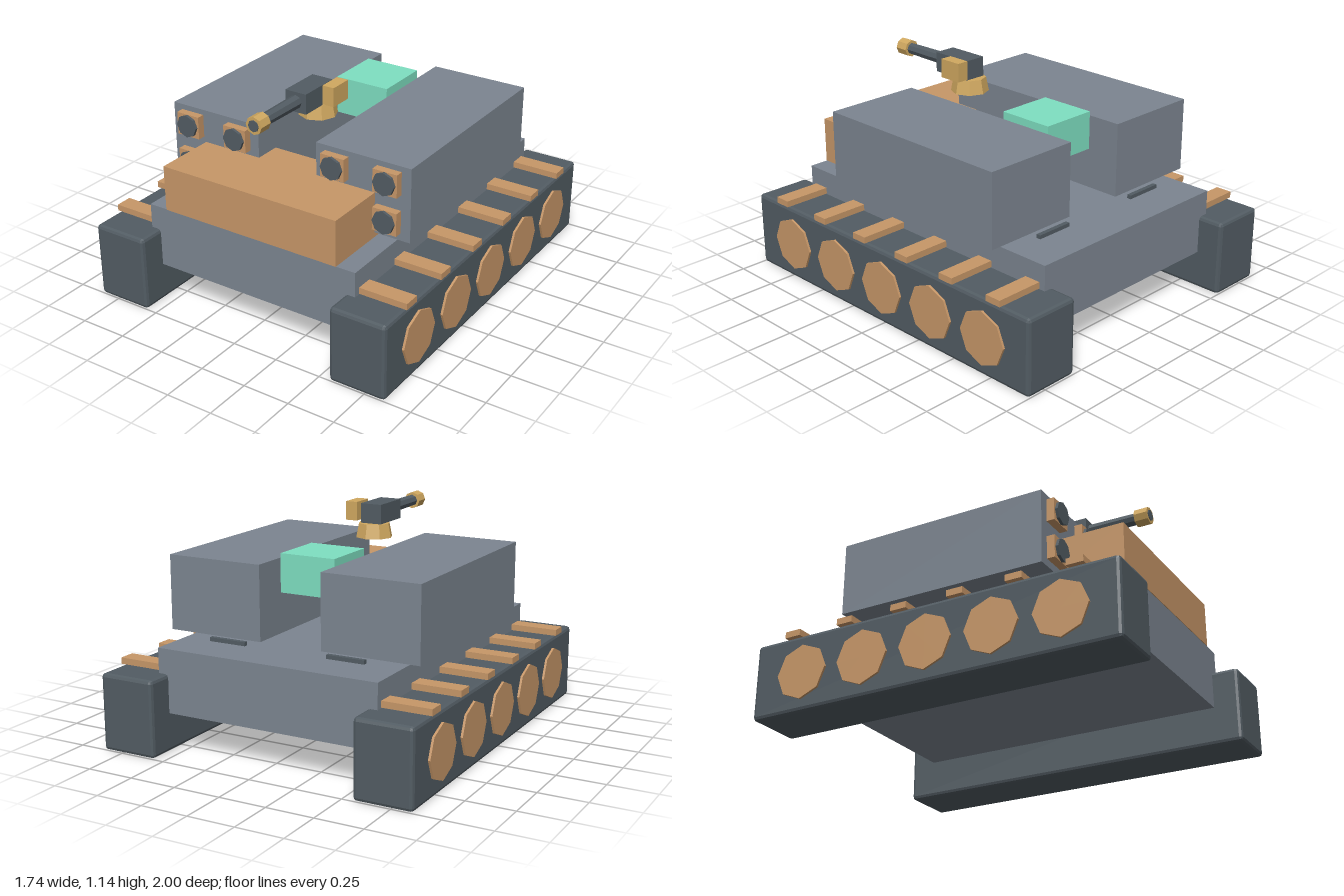
import * as THREE from 'three';
import { RoundedBoxGeometry } from 'three/addons/geometries/RoundedBoxGeometry.js';

export function createModel() {
  const model = new THREE.Group();
  model.name = 'tank';

  const paint = (color) => new THREE.MeshStandardMaterial({ color, flatShading: true });
  const grey = paint(0x7c8590);
  const dark = paint(0x525c63);
  const copper = paint(0xc79768);
  const brass = paint(0xd0a860);
  const mint = paint(0x7edfc1);

  function add(name, geometry, material, x, y, z) {
    const mesh = new THREE.Mesh(geometry, material);
    mesh.name = name;
    mesh.position.set(x, y, z);
    model.add(mesh);
    return mesh;
  }

  // Box given by its lowest and highest corners, optionally with small bevels
  function box(name, material, [x0, y0, z0], [x1, y1, z1], bevel = 0) {
    const size = [x1 - x0, y1 - y0, z1 - z0];
    const geometry = bevel
      ? new RoundedBoxGeometry(...size, 1, bevel)
      : new THREE.BoxGeometry(...size);
    return add(name, geometry, material, (x0 + x1) / 2, (y0 + y1) / 2, (z0 + z1) / 2);
  }

  // Same box on the left (+x) and right (-x)
  function boxPair(name, material, [x0, y0, z0], [x1, y1, z1], bevel = 0) {
    box(name + 'Left', material, [x0, y0, z0], [x1, y1, z1], bevel);
    box(name + 'Right', material, [-x1, y0, z0], [-x0, y1, z1], bevel);
  }

  // Prism lying along z
  function barrel(name, material, rBack, rFront, sides, x, y, z0, z1) {
    const geometry = new THREE.CylinderGeometry(rFront, rBack, z1 - z0, sides);
    geometry.rotateX(Math.PI / 2);
    return add(name, geometry, material, x, y, (z0 + z1) / 2);
  }

  // Hull and front armour
  box('hull', grey, [-0.61, 0.2, -0.86], [0.61, 0.53, 0.86]);
  box('frontArmour', copper, [-0.505, 0.53, 0.39], [0.505, 0.77, 0.863]);

  // Tracks
  boxPair('track', dark, [0.555, 0, -1], [0.86, 0.4, 1], 0.018);

  // Road wheels on the outer faces of the tracks
  for (const side of [1, -1]) {
    for (let i = 0; i < 5; i++) {
      const wheel = new THREE.CylinderGeometry(0.142, 0.142, 0.05, 8);
      wheel.rotateZ(Math.PI / 2);
      add('roadWheel', wheel, copper, side * 0.847, 0.2, 0.71 - i * 0.355);
    }
  }

  // Slats across the track tops
  for (let i = 0; i < 6; i++) {
    const z = 0.783 - i * 0.313;
    boxPair('trackSlat', copper, [0.6, 0.403, z - 0.044], [0.868, 0.436, z + 0.044]);
  }

  // Launcher pods and the vents behind them
  boxPair('launcherPod', grey, [0.172, 0.556, -0.612], [0.702, 0.945, 0.53]);
  boxPair('rearVent', dark, [0.23, 0.54, -0.665], [0.435, 0.56, -0.642]);

  // Launch tubes in square frames on the pod fronts
  for (const side of [1, -1]) {
    for (const [px, y] of [[0.29, 0.857], [0.583, 0.857], [0.583, 0.655]]) {
      const x = side * px;
      box('tubeFrame', copper, [x - 0.067, y - 0.06, 0.52], [x + 0.067, y + 0.06, 0.572]);
      barrel('launchTube', dark, 0.06, 0.06, 8, x, y, 0.53, 0.587);
    }
  }

  // Sensor block between the pods
  box('sensorBlock', mint, [-0.153, 0.775, -0.445], [0.153, 0.975, -0.14]);

  // Gun mount
  add('gunMount', new THREE.CylinderGeometry(0.085, 0.1, 0.075, 8), brass, 0, 0.993, 0.26);
  box('gunBody', dark, [-0.06, 1.03, 0.22], [0.06, 1.135, 0.45]);
  box('ammoBox', brass, [0.073, 1.043, 0.2], [0.138, 1.143, 0.327]);
  barrel('gunBarrel', dark, 0.035, 0.03, 8, 0, 1.085, 0.44, 0.792);
  barrel('muzzleBrake', brass, 0.046, 0.046, 8, 0, 1.085, 0.715, 0.788);

  return model;
}
